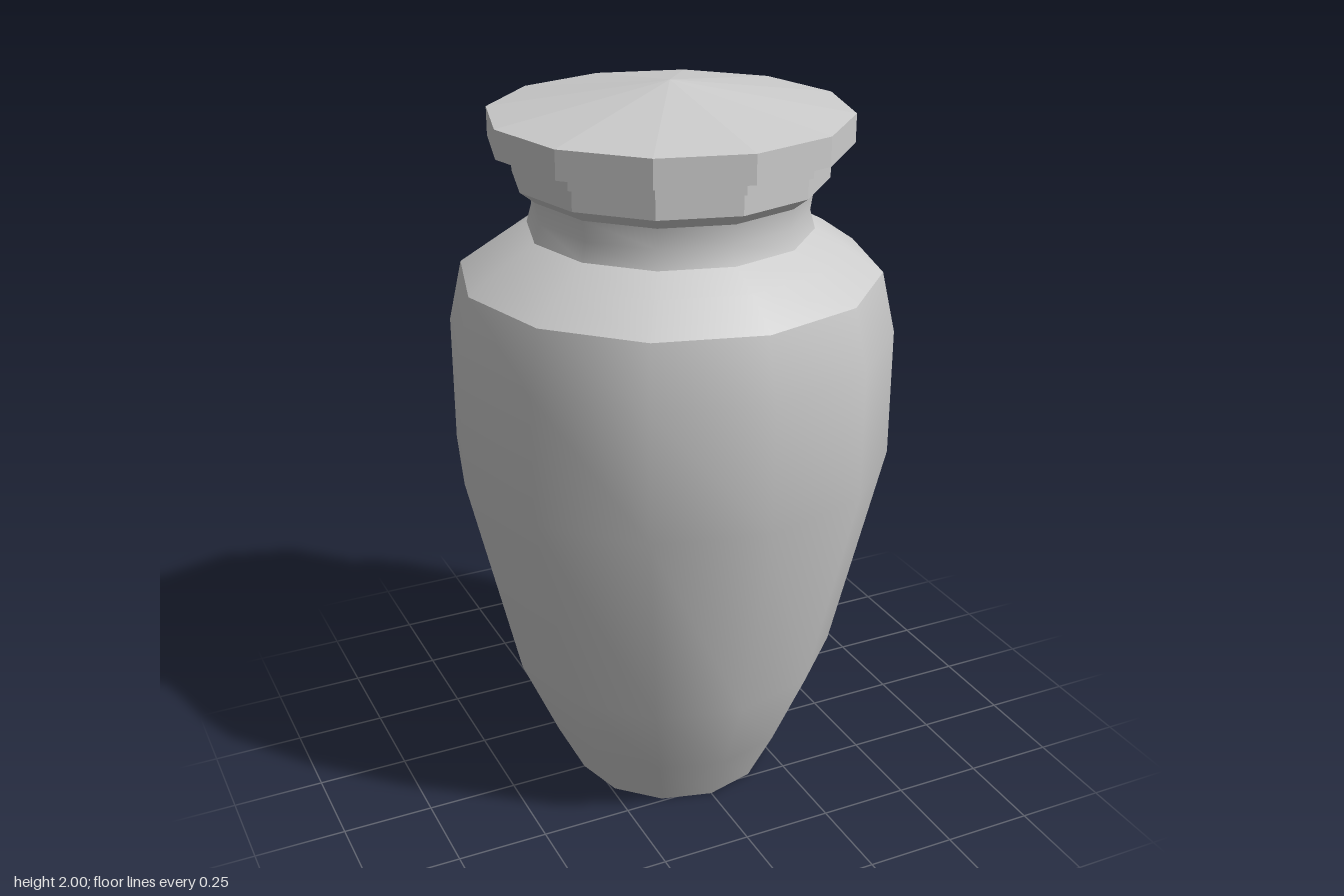
import * as THREE from 'three';

const SIDES = 12;

export function createModel() {
  const urn = new THREE.Group();
  urn.name = 'urn';
  const smooth = new THREE.MeshStandardMaterial({ color: 0xcccccc });
  const faceted = new THREE.MeshStandardMaterial({ color: 0xcccccc, flatShading: true });

  // Each band is a twelve-sided turned section, with [radius, height] points from bottom to top;
  // separate bands keep the edges between them sharp.
  const band = (name, profile, material = smooth) => {
    const points = profile.map(([r, y]) => new THREE.Vector2(r, y));
    const mesh = new THREE.Mesh(new THREE.LatheGeometry(points, SIDES), material);
    mesh.name = name;
    urn.add(mesh);
  };

  // Vessel
  band('base', [[0, 0], [0.278, 0]], faceted);
  band('body', [[0.278, 0], [0.355, 0.155], [0.457, 0.39], [0.597, 0.99], [0.597, 1.34], [0.56, 1.505]]);
  band('shoulder', [[0.56, 1.505], [0.46, 1.575], [0.378, 1.62]]);
  band('neck', [[0.378, 1.62], [0.364, 1.67], [0.372, 1.725]]);

  // Stepped collar under the lid
  band('collarUnderside', [[0.372, 1.725], [0.413, 1.757]], faceted);
  band('collar', [[0.413, 1.757], [0.413, 1.812], [0.427, 1.812], [0.427, 1.848]], faceted);

  // Lid with a shallow conical top
  band('lidRim', [[0.427, 1.848], [0.473, 1.848], [0.473, 1.923]], faceted);
  band('lidTop', [[0.473, 1.923], [0, 2]], faceted);

  return urn;
}
